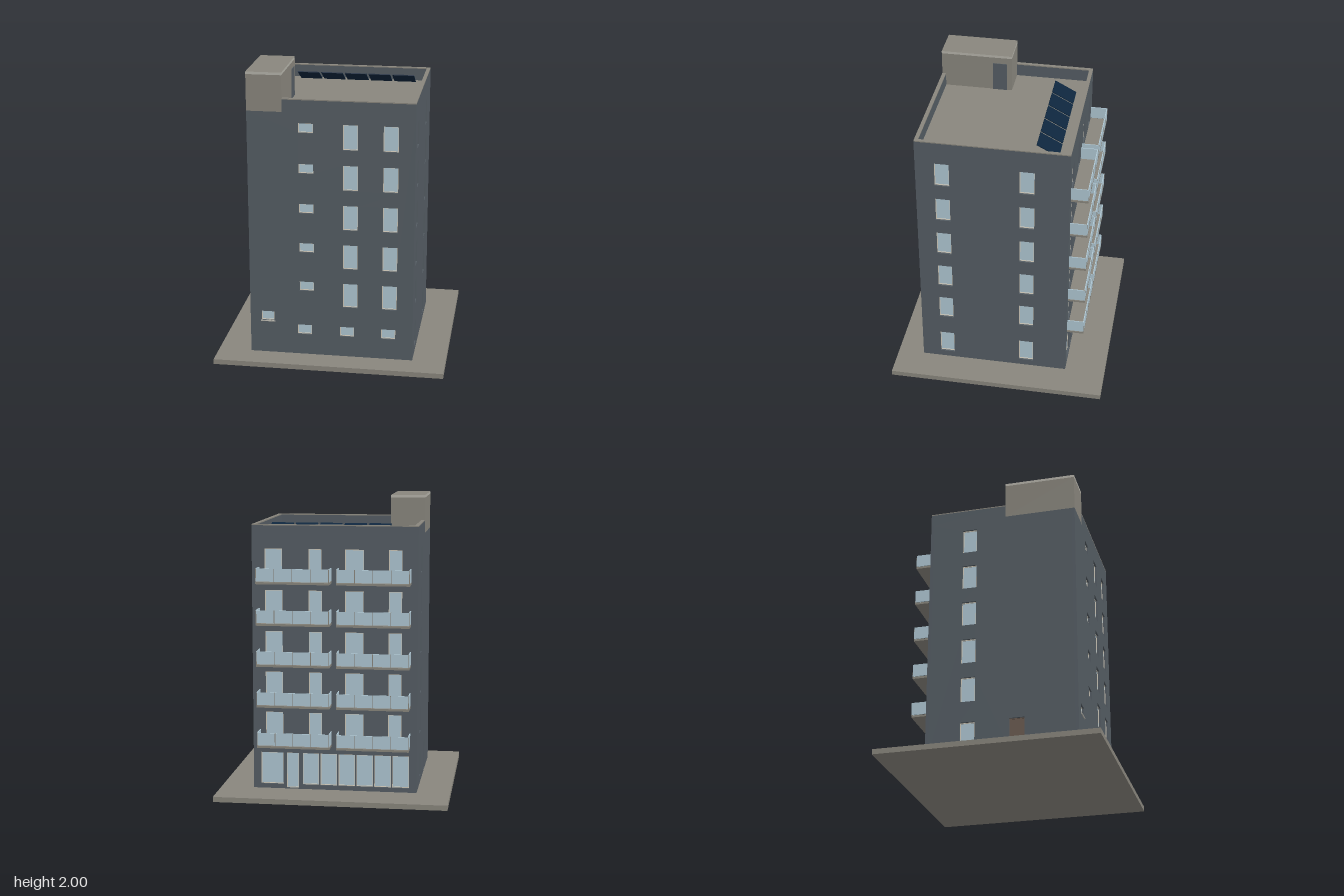
import * as THREE from 'three';

const mat = (name, color) => {
  const m = new THREE.MeshStandardMaterial({ color });
  m.name = name;
  return m;
};

export function createModel() {
  const wall = mat('slateWall', 0x555d64);
  const concrete = mat('concrete', 0x89867d);
  const glass = mat('glass', 0xafc7d3);
  const frame = mat('paleFrame', 0xcfc9ba);
  const solar = mat('solarBlue', 0x0d253d);
  const brown = mat('brownDoor', 0x6b5b50);
  const trim = mat('lightTrim', 0xb5b3aa);

  const model = new THREE.Group();
  model.name = 'apartmentBlock';

  // Box given by its minimum and maximum corners
  const box = (parent, name, m, x0, x1, y0, y1, z0, z1) => {
    const mesh = new THREE.Mesh(new THREE.BoxGeometry(x1 - x0, y1 - y0, z1 - z0), m);
    mesh.position.set((x0 + x1) / 2, (y0 + y1) / 2, (z0 + z1) / 2);
    mesh.name = name;
    parent.add(mesh);
    return mesh;
  };
  const rectPath = (P, x0, x1, y0, y1) => {
    const p = new P();
    p.moveTo(x0, y0);
    p.lineTo(x1, y0);
    p.lineTo(x1, y1);
    p.lineTo(x0, y1);
    p.closePath();
    return p;
  };

  const X = 0.555, ZF = 0.555, ZB = -0.46, BASE = 0.035, ROOF = 1.74, TOP = 1.83;
  const STEP = 0.276, T = 0.02;
  const floors = [0, 1, 2, 3, 4].map((i) => i * STEP);

  // Wall with recessed openings [u0, u1, y0, y1, kind]; outer face at local z = 0
  const facade = (name, u0, u1, openings) => {
    const g = new THREE.Group();
    g.name = name;
    const shape = rectPath(THREE.Shape, u0, u1, BASE, ROOF);
    for (const [a, b, c, d, kind] of openings) {
      shape.holes.push(rectPath(THREE.Path, a, b, c, d));
      const isDoor = kind === 'door';
      const f = 0.005;
      const border = rectPath(THREE.Shape, a, b, c, d);
      border.holes.push(rectPath(THREE.Path, a + f, b - f, c + f, d - f));
      const rim = new THREE.Mesh(
        new THREE.ExtrudeGeometry(border, { depth: 0.006, bevelEnabled: false }), isDoor ? brown : frame);
      rim.position.z = -T + 0.002;
      rim.name = isDoor ? 'doorFrame' : 'windowFrame';
      g.add(rim);
      box(g, isDoor ? 'door' : 'windowGlass', isDoor ? brown : glass, a, b, c, d, -T - 0.005, -T + 0.003);
    }
    const mesh = new THREE.Mesh(new THREE.ExtrudeGeometry(shape, { depth: T, bevelEnabled: false }), wall);
    mesh.position.z = -T;
    mesh.name = 'wall';
    g.add(mesh);
    model.add(g);
    return g;
  };

  // Paved base
  box(model, 'groundSlab', concrete, -0.78, 0.78, 0, BASE, -0.735, 0.735);

  // Front: one small and two tall columns of windows, plus ground-floor lights
  const front = [[-0.48, -0.39, 0.268, 0.335]];
  for (const u of [-0.23, 0.06, 0.34]) front.push([u, u + 0.098, 0.18, 0.25]);
  for (const y of floors) {
    front.push([-0.215, -0.115, 0.5 + y, 0.565 + y]);
    for (const u of [0.08, 0.345]) front.push([u, u + 0.1, 0.394 + y, 0.565 + y]);
  }
  facade('frontFacade', -X, X, front).position.z = ZF;
  box(model, 'windowSill', trim, -0.485, -0.385, 0.262, 0.268, ZF - 0.01, ZF + 0.006);

  // Left side: two columns of windows
  const sideRows = [[0.08, 0.25], ...floors.map((y) => [0.394 + y, 0.565 + y])];
  const left = [];
  for (const [c, d] of sideRows) left.push([-0.43, -0.33, c, d], [0.13, 0.23, c, d]);
  const leftWall = facade('leftFacade', -ZF + T, -ZB - T, left);
  leftWall.position.x = X;
  leftWall.rotation.y = Math.PI / 2;

  // Right side: one column of windows and the side door
  const right = sideRows.map(([c, d]) => [-0.23, -0.13, c, d]);
  right.push([0.1, 0.2, 0.04, 0.25, 'door']);
  const rightWall = facade('rightFacade', ZB + T, ZF - T, right);
  rightWall.position.x = -X;
  rightWall.rotation.y = -Math.PI / 2;

  // Back: glazed ground floor, balcony doors and windows above
  const back = [[-0.505, -0.35, 0.065, 0.285], [-0.33, -0.245, 0.04, 0.285]];
  for (let i = 0; i < 6; i++) back.push([-0.22 + i * 0.122, -0.106 + i * 0.122, 0.065, 0.285]);
  for (const y of floors) {
    back.push([-0.47, -0.35, 0.394 + y, 0.565 + y], [-0.175, -0.085, 0.358 + y, 0.565 + y]);
    back.push([0.07, 0.195, 0.394 + y, 0.565 + y], [0.36, 0.45, 0.358 + y, 0.565 + y]);
  }
  const backWall = facade('backFacade', -X, X, back);
  backWall.position.z = ZB;
  backWall.rotation.y = Math.PI;

  // Balconies: slab, glass panels and thin posts
  const zo = -0.575;
  for (const y of floors) {
    for (const [a, b] of [[-0.51, -0.025], [0.02, 0.51]]) {
      const g = new THREE.Group();
      g.name = 'balcony';
      box(g, 'balconySlab', concrete, a, b, 0.34 + y, 0.354 + y, zo, ZB);
      const g0 = 0.358 + y, g1 = 0.443 + y;
      box(g, 'frontGlass', glass, a, b, g0, g1, zo, zo + 0.006);
      for (const x of [a, b - 0.006]) box(g, 'endGlass', glass, x, x + 0.006, g0, g1, zo + 0.006, ZB);
      for (let i = 0; i <= 4; i++) {
        const x = a + 0.003 + ((b - a - 0.006) * i) / 4;
        box(g, 'post', concrete, x - 0.002, x + 0.002, 0.35 + y, g1, zo - 0.001, zo + 0.008);
      }
      model.add(g);
    }
  }

  // Flat roof and parapet, interrupted by the stair house
  const SX = -0.32, SZ = 0.07, P = 0.025;
  box(model, 'roofDeck', concrete, -X + 0.002, X - 0.002, ROOF - 0.02, ROOF, ZB + 0.002, ZF - 0.002);
  const runs = [
    [SX, X, ZF - P, ZF],
    [-X, X, ZB, ZB + P],
    [X - P, X, ZB + P, ZF - P],
    [-X, -X + P, ZB + P, SZ],
  ];
  for (const [x0, x1, z0, z1] of runs) {
    box(model, 'parapet', wall, x0, x1, ROOF, TOP - 0.007, z0, z1);
    box(model, 'coping', concrete, x0, x1, TOP - 0.007, TOP, z0, z1);
  }

  // Stair house with light roof edge and door onto the roof
  box(model, 'stairHouse', concrete, -X, SX, ROOF, 1.983, SZ, ZF);
  box(model, 'stairHouseRoof', [trim, trim, concrete, concrete, trim, trim], -X, SX, 1.983, 2, SZ, ZF);
  box(model, 'roofDoor', wall, SX - 0.004, SX + 0.004, ROOF, 1.94, 0.105, 0.2);

  // Row of tilted solar panels
  const tilt = Math.atan2(0.078, 0.146);
  for (let i = 0; i < 5; i++) {
    const panel = new THREE.Mesh(new THREE.BoxGeometry(0.15, 0.006, 0.164), solar);
    panel.position.set(-0.28 + i * 0.1662, 1.785, -0.298);
    panel.rotation.x = -tilt;
    panel.name = 'solarPanel';
    model.add(panel);
  }
  return model;
}
